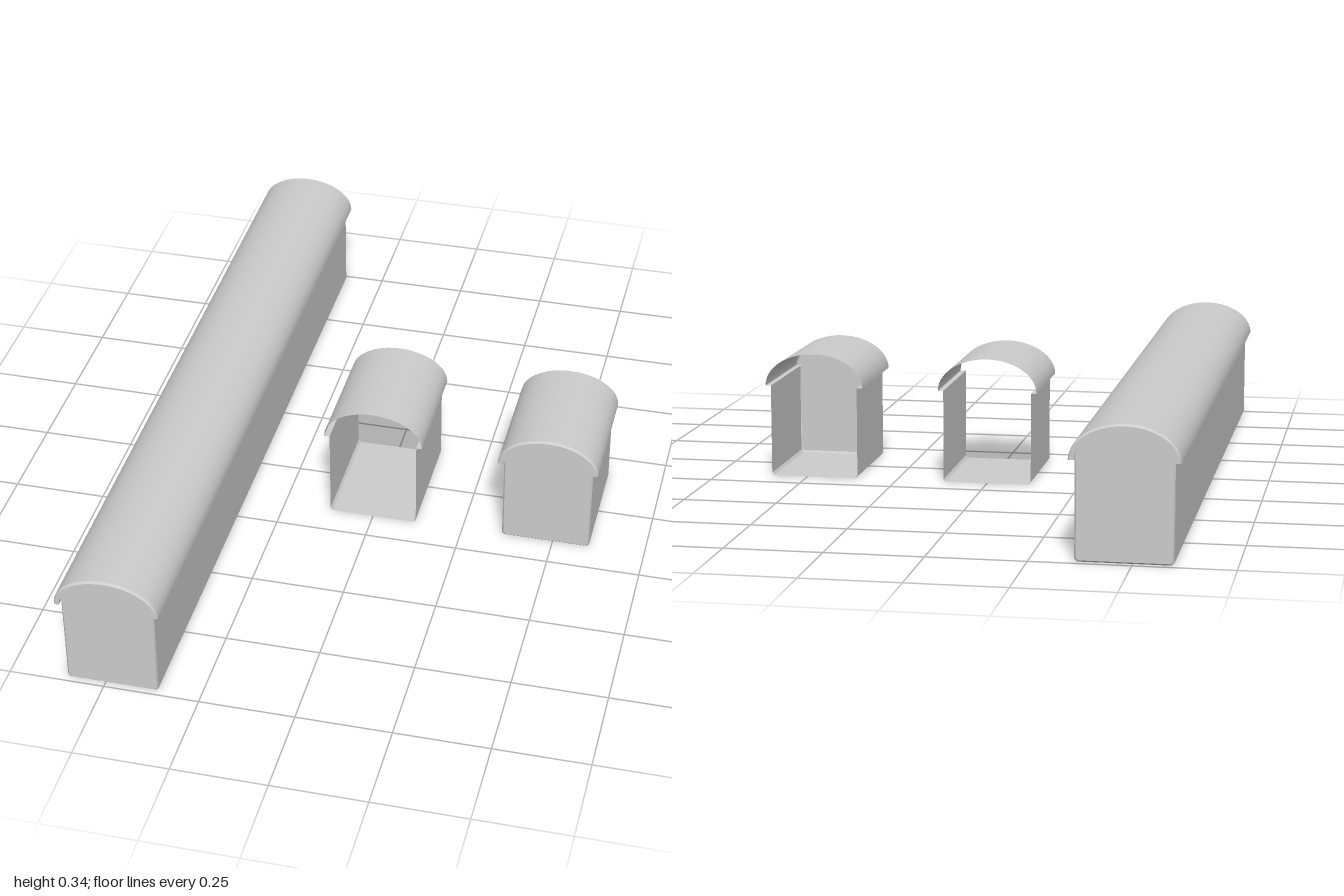
import * as THREE from 'three';
import { toCreasedNormals } from 'three/addons/utils/BufferGeometryUtils.js';

const HALF = 0.12, EAVE = 0.25, SEG = 28;
const BODY_END = 0.015; // how far the end wall sits back from the roof edge
const material = new THREE.MeshStandardMaterial({ color: 0xcccccc, side: THREE.DoubleSide });

// Half-ellipse from +x over the top to -x
function arch(a, b) {
  const pts = [];
  for (let i = 0; i <= SEG; i++) {
    const t = (i / SEG) * Math.PI;
    pts.push([a * Math.cos(t), EAVE + b * Math.sin(t)]);
  }
  return pts;
}

// Roof outline: arch plus the flat soffit running in to the wall tops
const roofOutline = (a, b) => [[HALF, EAVE], ...arch(a, b), [-HALF, EAVE]];
const roofOuter = roofOutline(0.135, 0.09);
const roofBevel = roofOutline(0.131, 0.085);
const roofInner = roofOutline(HALF, 0.067);

// Walls and floor with small bottom chamfers, shrunk by an inset at closed ends
function bodyOutline(inset) {
  const w = HALF - inset;
  return [[-w, EAVE], [-w, 0.007 + inset], [-w + 0.006, inset],
    [w - 0.006, inset], [w, 0.007 + inset], [w, EAVE]];
}

// Skin a list of { z, pts } cross-sections
function loft(stations) {
  const pos = [], idx = [], n = stations[0].pts.length;
  for (const s of stations) for (const [x, y] of s.pts) pos.push(x, y, s.z);
  for (let i = 0; i < stations.length - 1; i++) {
    for (let j = 0; j < n - 1; j++) {
      const a = i * n + j, c = a + n;
      idx.push(a, a + 1, c, a + 1, c + 1, c);
    }
  }
  const g = new THREE.BufferGeometry();
  g.setAttribute('position', new THREE.Float32BufferAttribute(pos, 3));
  g.setIndex(idx);
  return toCreasedNormals(g, 0.5);
}

function addMesh(group, geometry, name) {
  const mesh = new THREE.Mesh(geometry, material);
  mesh.name = name;
  group.add(mesh);
  return mesh;
}

// Cross-sections for a closed end, ordered from the middle outwards
const closedRoof = (s, e) => [
  { z: s * (e - 0.006), pts: roofOuter }, { z: s * e, pts: roofBevel },
  { z: s * e, pts: roofInner }, { z: s * (e - BODY_END), pts: roofInner }];
const closedBody = (s, e) => [
  { z: s * (e - BODY_END - 0.004), pts: bodyOutline(0) },
  { z: s * (e - BODY_END), pts: bodyOutline(0.004) }];

// One vaulted section; each end is either closed by a wall or left open
function section(name, x, back, front, backClosed, frontClosed) {
  const group = new THREE.Group();
  group.name = name;
  group.position.x = x;

  const ends = (closed, open) => [
    ...(backClosed ? closed(-1, -back).reverse() : [{ z: back, pts: open }]),
    ...(frontClosed ? closed(1, front) : [{ z: front, pts: open }])];
  addMesh(group, loft(ends(closedRoof, roofOuter)), 'roof');
  addMesh(group, loft(ends(closedBody, bodyOutline(0))), 'wallsAndFloor');

  // Arched end walls
  const outline = [...bodyOutline(0.004), ...arch(HALF, 0.067)];
  const wall = new THREE.ShapeGeometry(
    new THREE.Shape(outline.map(([px, py]) => new THREE.Vector2(px, py))));
  if (frontClosed) addMesh(group, wall, 'frontWall').position.z = front - BODY_END;
  if (backClosed) {
    const mesh = addMesh(group, wall, 'backWall');
    mesh.position.z = back + BODY_END;
    mesh.rotation.y = Math.PI;
  }
  return group;
}

export function createModel() {
  const model = new THREE.Group();
  model.name = 'vaultedSections';
  model.add(
    section('longSection', -0.48, -1, 1, true, true),
    section('middleSection', 0, -0.163, 0.163, false, false),
    section('endSection', 0.48, -0.163, 0.178, false, true));
  return model;
}
